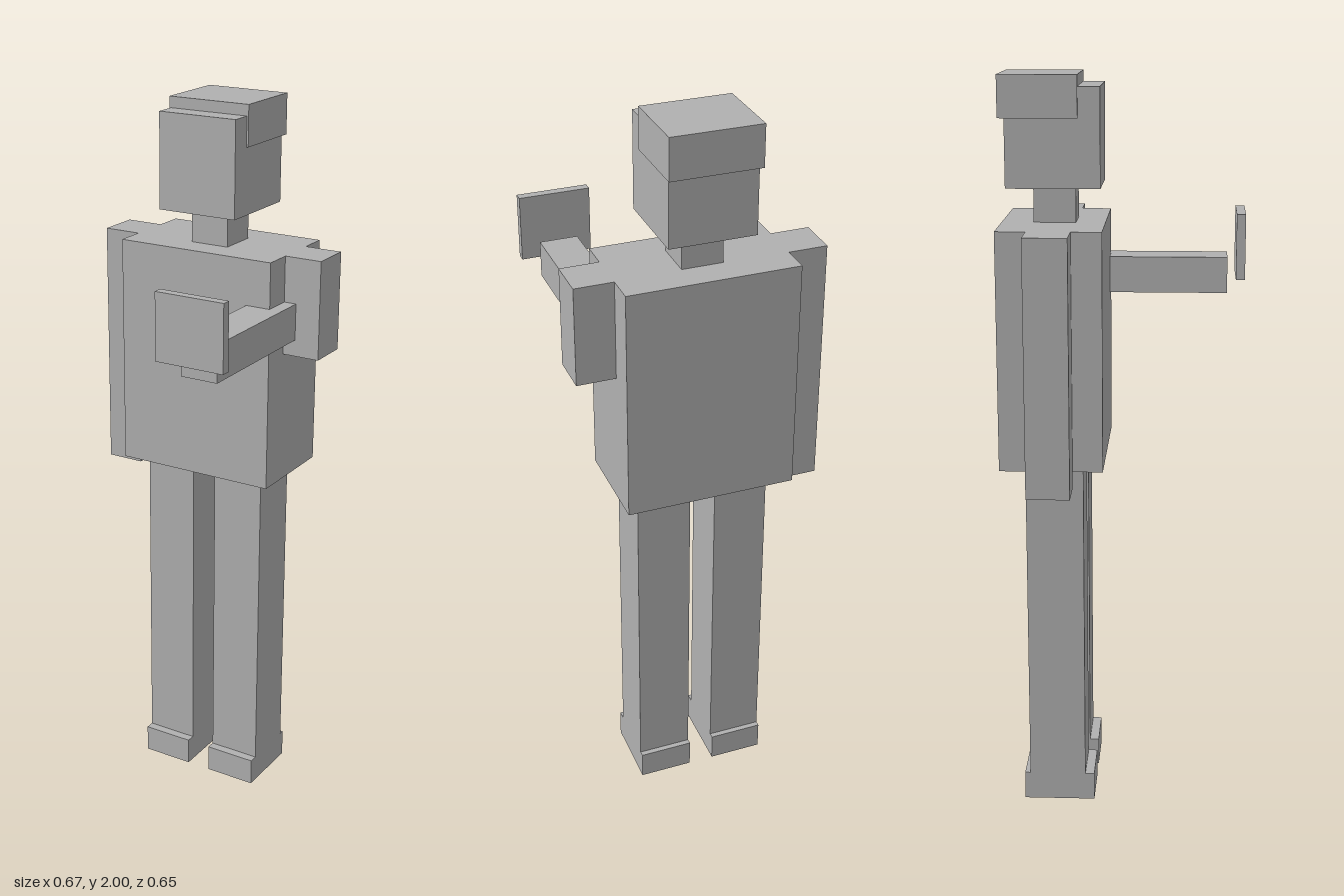
import * as THREE from 'three';

export function createModel() {
  const model = new THREE.Group();
  model.name = 'blockFigure';

  const grey = new THREE.MeshStandardMaterial({ color: 0xb0b0b0 });
  grey.name = 'grey';
  const darkGrey = new THREE.MeshStandardMaterial({ color: 0x505050 });
  darkGrey.name = 'darkGrey';

  // Adds a box given its [min, max] range on each axis
  function block(name, [x0, x1], [y0, y1], [z0, z1], material = grey) {
    const mesh = new THREE.Mesh(new THREE.BoxGeometry(x1 - x0, y1 - y0, z1 - z0), material);
    mesh.position.set((x0 + x1) / 2, (y0 + y1) / 2, (z0 + z1) / 2);
    mesh.name = name;
    model.add(mesh);
  }

  // Head, hair and neck
  block('hair', [-0.12, 0.12], [1.89, 2], [-0.325, -0.118]);
  block('head', [-0.115, 0.115], [1.71, 1.97], [-0.308, -0.06]);
  block('neck', [-0.055, 0.055], [1.61, 1.71], [-0.24, -0.128]);

  // Torso
  block('torso', [-0.23, 0.23], [0.98, 1.615], [-0.325, -0.05]);

  // Hanging right arm
  block('rightArm', [-0.335, -0.23], [0.935, 1.615], [-0.245, -0.13]);

  // Bent left arm reaching forward, with a small panel before the hand
  block('leftUpperArm', [0.23, 0.335], [1.345, 1.615], [-0.245, -0.13]);
  block('leftForearm', [0.16, 0.265], [1.39, 1.49], [-0.13, 0.277]);
  block('heldPanel', [0.115, 0.31], [1.435, 1.615], [0.3, 0.325]);

  // Legs, shoes and the recessed-looking sole patches
  for (const [side, s] of [['left', 1], ['right', -1]]) {
    const x = s > 0 ? [0.035, 0.183] : [-0.183, -0.035];
    block(side + 'Leg', x, [0.08, 0.98], [-0.26, -0.105]);
    block(side + 'Shoe', x, [0.002, 0.08], [-0.275, -0.08]);
    const mid = s * 0.109;
    block(side + 'SolePatch', [mid - 0.04, mid + 0.04], [0, 0.003], [-0.23, -0.13], darkGrey);
  }

  return model;
}
